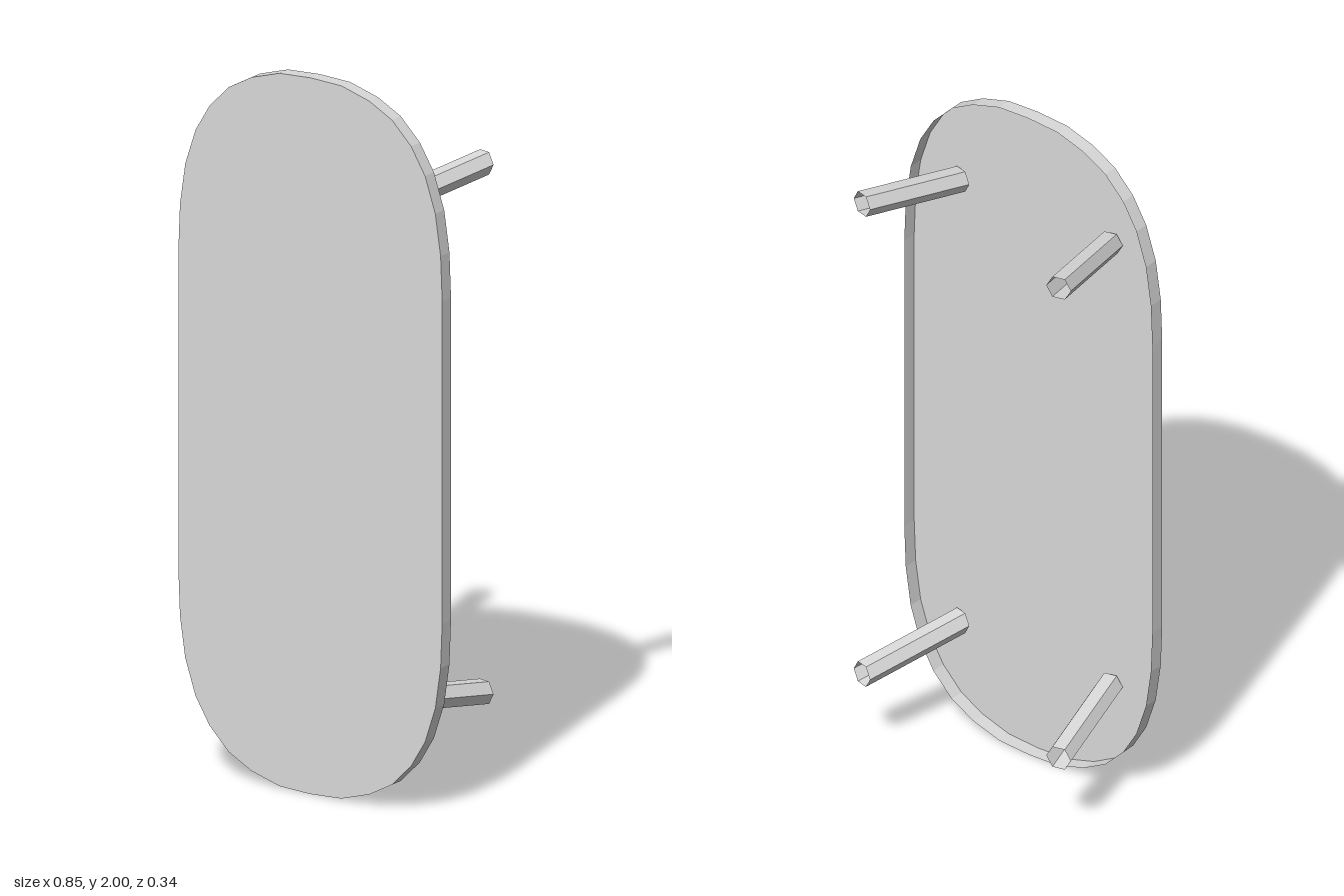
import * as THREE from 'three';

export function createModel() {
  const group = new THREE.Group();
  const grey = new THREE.MeshStandardMaterial({ color: 0xd9d9d9, flatShading: true, side: THREE.DoubleSide });
  grey.name = 'light grey';

  function add(geometry, name, x, y, z) {
    const mesh = new THREE.Mesh(geometry, grey);
    mesh.position.set(x, y, z);
    mesh.name = name;
    group.add(mesh);
    return mesh;
  }

  // Panel outline: one quarter, mirrored to all four corners
  const quarter = [
    [0.425, 0.45], [0.42, 0.575], [0.403, 0.69], [0.37, 0.79], [0.325, 0.865],
    [0.263, 0.928], [0.19, 0.968], [0.1, 0.995], [0, 1],
  ];
  const back = [...quarter].reverse().slice(1);
  const half = [...quarter, ...back.map(([x, y]) => [-x, y])];
  const outline = [...half, ...half.map(([x, y]) => [-x, -y])];

  // Front face of the panel
  const shape = new THREE.Shape(outline.map(([x, y]) => new THREE.Vector2(x, y)));
  add(new THREE.ShapeGeometry(shape), 'frontFace', 0, 1, 0.17);

  // Thin rim running back from the face; the back is open
  const depth = 0.042;
  const points = [];
  const faces = [];
  outline.forEach(([x, y], i) => {
    const a = 2 * i;
    const b = 2 * ((i + 1) % outline.length);
    points.push(x, y, 0, x, y, -depth);
    faces.push(a, a + 1, b + 1, a, b + 1, b);
  });
  const rim = new THREE.BufferGeometry();
  rim.setAttribute('position', new THREE.Float32BufferAttribute(points, 3));
  rim.setIndex(faces);
  rim.computeVertexNormals();
  add(rim, 'rim', 0, 1, 0.17);

  // Four splayed six-sided tubes with open, upright ends
  const angle = Math.atan2(0.081, 0.321);
  const length = Math.hypot(0.081, 0.321);
  for (const sx of [-1, 1]) {
    for (const sy of [-1, 1]) {
      const tube = new THREE.CylinderGeometry(0.036, 0.036, length, 6, 1, true, Math.PI / 2);
      tube.rotateX(-Math.PI / 2);
      // Slope the tube up or down while its ends stay upright
      const p = tube.attributes.position;
      for (let i = 0; i < p.count; i++) {
        p.setY(i, p.getY(i) - sy * p.getZ(i) * 0.045 / length);
      }
      tube.computeVertexNormals();
      const name = (sy > 0 ? 'upper' : 'lower') + (sx > 0 ? 'Left' : 'Right') + 'Leg';
      const leg = add(tube, name, sx * 0.2965, 1 + sy * 0.7165, -0.0005);
      leg.rotation.y = -sx * angle;
    }
  }
  return group;
}
